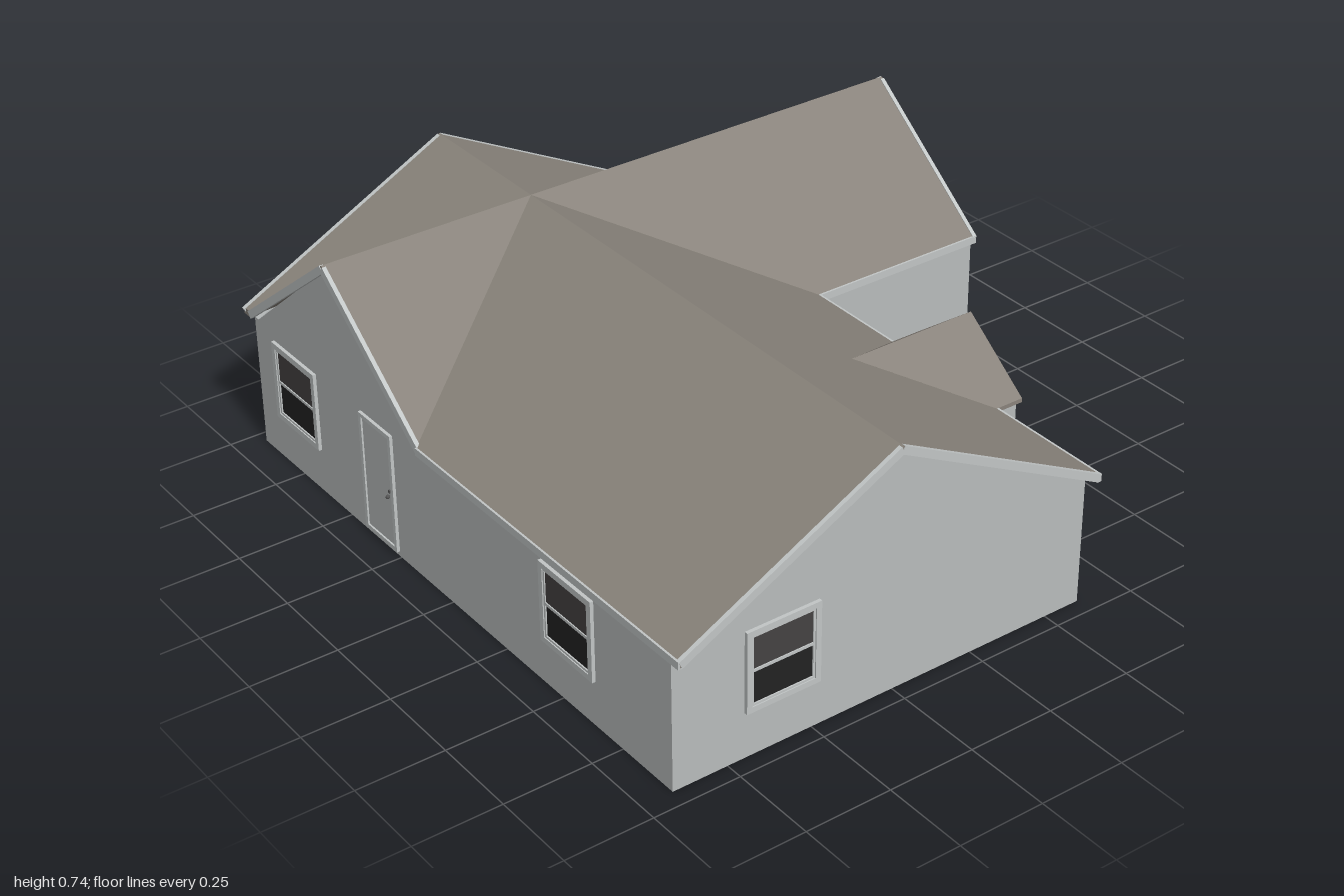
import * as THREE from 'three';

const mat = (name, color) => {
  const m = new THREE.MeshStandardMaterial({ color });
  m.name = name;
  return m;
};

export function createModel() {
  const house = new THREE.Group();
  house.name = 'house';
  const siding = mat('siding', 0xb9bdbd);
  const trim = mat('trim', 0xc2c6c6);
  const shingle = mat('shingle', 0x89837b);
  const brick = mat('brick', 0x857d75);
  const glassUpper = mat('upperGlass', 0x454242);
  const glassLower = mat('lowerGlass', 0x222223);
  const metal = mat('metal', 0x555555);
  const groove = mat('groove', 0x868a8a);

  const add = (parent, name, geo, material) => {
    const m = new THREE.Mesh(geo, material);
    m.name = name;
    parent.add(m);
    return m;
  };
  // Box given by its min and max on each axis
  const box = (parent, name, material, x0, x1, y0, y1, z0, z1) => add(parent, name,
    new THREE.BoxGeometry(x1 - x0, y1 - y0, z1 - z0)
      .translate((x0 + x1) / 2, (y0 + y1) / 2, (z0 + z1) / 2), material);

  // Upright wall from an outline; axis 'z' takes (x, y), axis 'x' takes (z, y)
  const wall = (name, material, axis, from, to, outline, hole) => {
    const shape = new THREE.Shape(outline.map(p => new THREE.Vector2(...p)));
    if (hole) shape.holes.push(new THREE.Path(hole.map(p => new THREE.Vector2(...p))));
    const geo = new THREE.ExtrudeGeometry(shape, { depth: to - from, bevelEnabled: false });
    if (axis === 'z') geo.translate(0, 0, from);
    else geo.rotateY(-Math.PI / 2).translate(to, 0, 0);
    return add(house, name, geo, material);
  };

  // Convex sloping slab: top polygon, underside and edges
  const slab = (name, pts, t = 0.018) => {
    let top = pts.map(p => new THREE.Vector3(...p));
    const n = top[1].clone().sub(top[0]).cross(top[2].clone().sub(top[0]));
    if (n.y < 0) top.reverse();
    const low = top.map(p => p.clone().setY(p.y - t));
    const v = [];
    const tri = (...ps) => ps.forEach(p => v.push(p.x, p.y, p.z));
    top.forEach((p, i) => {
      const j = (i + 1) % top.length;
      if (i > 0 && j > 0) {
        tri(top[0], p, top[j]);
        tri(low[0], low[j], low[i]);
      }
      tri(p, low[i], low[j]);
      tri(p, low[j], top[j]);
    });
    const geo = new THREE.BufferGeometry();
    geo.setAttribute('position', new THREE.Float32BufferAttribute(v, 3));
    geo.computeVertexNormals();
    return add(house, name, geo, shingle);
  };

  // Fascia board running from a to b
  const board = (name, a, b, h = 0.022) => {
    const p = new THREE.Vector3(...a), q = new THREE.Vector3(...b);
    const m = add(house, name, new THREE.BoxGeometry(0.012, h, p.distanceTo(q)), trim);
    m.position.copy(p).lerp(q, 0.5);
    m.lookAt(q);
  };

  // Walls
  const peak = 0.725, eave = 0.395;
  wall('frontWall', siding, 'z', 0.93, 0.95,
    [[-0.91, 0], [0.36, 0], [0.36, eave], [-0.28, peak], [-0.91, eave]]);
  wall('backWall', siding, 'z', -0.96, -0.94,
    [[-0.91, 0], [0.905, 0], [0.905, eave], [0.36, eave], [-0.28, peak], [-0.91, eave]]);
  wall('rightSideWall', siding, 'x', -0.91, -0.89,
    [[-0.94, 0], [0.93, 0], [0.93, eave], [-0.13, eave], [-0.545, peak], [-0.94, eave]]);
  wall('garageGableWall', siding, 'x', 0.885, 0.905,
    [[-0.94, 0], [-0.14, 0], [-0.14, eave], [-0.545, peak], [-0.94, eave]],
    [[-0.89, 0.001], [-0.89, 0.365], [-0.195, 0.365], [-0.195, 0.001]]);
  box(house, 'garageSideWall', siding, 0.34, 0.905, 0, eave, -0.14, -0.12);
  box(house, 'entryWall', brick, 0.34, 0.36, 0, eave, -0.12, 0.93);
  box(house, 'doorStep', brick, 0.36, 0.6, 0, 0.015, -0.12, 0.12);

  // Crossing gable roofs, meeting at the centre of the ridges
  const R = 0.74, E = 0.41, cx = -0.28, cz = -0.545, zf = -0.12, zb = -0.97;
  const centre = [cx, R, cz];
  for (const s of [-1, 1]) {
    const ex = cx + s * 0.64, gx = s * 0.92;
    slab('mainRoofFront', [[ex, E, 1], [cx, R, 1], centre, [ex, E, zf]]);
    slab('mainRoofBack', [centre, [ex, E, zb], [ex, E, -1], [cx, R, -1]]);
    for (const z of [zf, zb]) {
      slab('crossRoof', s < 0 ? [centre, [gx, R, cz], [ex, E, z]]
        : [centre, [gx, R, cz], [gx, E, z], [ex, E, z]]);
      board('crossRake', [gx - s * 0.004, R - 0.011, cz], [gx - s * 0.004, E - 0.011, z]);
    }
    for (const z of [0.996, -0.996]) board('mainRake', [ex, E - 0.011, z], [cx, R - 0.011, z]);
    board('mainEave', [ex, E - 0.011, zf], [ex, E - 0.011, 1]);
  }
  for (const z of [zf, zb]) board('garageEave', [0.36, E - 0.011, z], [0.92, E - 0.011, z]);

  // Sash window, facing +z before turning; cols and rows add glazing bars
  const frame = (g, w, h, b, z0, z1) => {
    for (const s of [-1, 1]) {
      const x = s * (w - b) / 2, y = s * (h - b) / 2;
      box(g, 'frameSide', trim, x - b / 2, x + b / 2, -h / 2, h / 2, z0, z1);
      box(g, 'frameRail', trim, -w / 2 + b, w / 2 - b, y - b / 2, y + b / 2, z0, z1);
    }
  };
  const windowAt = (name, x, y, z, turn, w, h, b, cols = 1, rows = 2) => {
    const g = new THREE.Group();
    g.name = name;
    frame(g, w, h, b, -0.026, 0.01);
    frame(g, w - 2 * b, h - 2 * b, 0.006, -0.024, 0.007);
    const gw = w / 2 - b, gh = h / 2 - b;
    box(g, 'upperPane', glassUpper, -gw, gw, 0, gh, -0.022, 0.004);
    box(g, 'lowerPane', glassLower, -gw, gw, -gh, 0, -0.022, 0.003);
    for (let i = 1; i < cols; i++) {
      const u = -gw + 2 * gw * i / cols;
      box(g, 'glazingBar', trim, u - 0.0015, u + 0.0015, -gh, gh, -0.023, 0.006);
    }
    for (let i = 1; i < rows; i++) {
      const v = -gh + 2 * gh * i / rows, t = i * 2 === rows ? 0.004 : 0.0015;
      box(g, 'crossBar', trim, -gw, gw, v - t, v + t, -0.024, 0.007);
    }
    g.position.set(x, y, z);
    g.rotation.y = turn;
    house.add(g);
  };
  const q = Math.PI / 2;
  windowAt('frontWindow', -0.59, 0.25, 0.95, 0, 0.22, 0.235, 0.016);
  windowAt('backWindow', -0.58, 0.25, -0.96, Math.PI, 0.22, 0.235, 0.016);
  for (const z of [-0.75, 0.53]) windowAt('sideWindow', -0.91, 0.25, z, -q, 0.22, 0.235, 0.016);

  // Bay with its small gable roof and paired windows
  wall('bay', siding, 'x', 0.34, 0.43,
    [[0.2, 0.095], [0.61, 0.095], [0.61, 0.405], [0.405, 0.555], [0.2, 0.405]]);
  for (const s of [-1, 1]) {
    const z = 0.405 + s * 0.21;
    slab('bayRoof', [[0.445, 0.57, 0.405], [0.05, 0.57, 0.405], [0.36, 0.41, z], [0.445, 0.41, z]], 0.012);
    windowAt('bayWindow', 0.43, 0.262, 0.413 + s * 0.083, -q + Math.PI, 0.166, 0.265, 0.01, 3, 4);
  }
  box(house, 'baySill', trim, 0.43, 0.442, 0.122, 0.131, 0.245, 0.58);

  // Doors
  const doorAt = (name, x, z, turn) => {
    const g = new THREE.Group();
    g.name = name;
    const w = 0.155, h = 0.355;
    frame(g, w, h, 0.012, -0.026, 0.009);
    box(g, 'doorLeaf', siding, -w / 2 + 0.012, w / 2 - 0.012, -h / 2 + 0.012, h / 2 - 0.012, -0.022, 0.004);
    const knob = add(g, 'doorKnob', new THREE.SphereGeometry(0.006, 10, 8), metal);
    knob.position.set(0.055, -0.015, 0.012);
    box(g, 'lockPlate', metal, 0.051, 0.059, -0.005, 0.003, 0.004, 0.008);
    g.position.set(x, 0.015 + h / 2, z);
    g.rotation.y = turn;
    house.add(g);
  };
  doorAt('frontDoor', 0.36, 0.005, q);
  doorAt('sideDoor', -0.91, -0.335, -q);

  // Garage door with raised panels, brick piers and trim
  box(house, 'garageDoor', siding, 0.882, 0.895, 0, 0.365, -0.89, -0.195);
  for (let r = 0; r < 4; r++) {
    for (let c = 0; c < 8; c++) {
      const y = 0.045 + r * 0.087, z = -0.845 + c * 0.0865;
      box(house, 'panelEdge', groove, 0.895, 0.897, y - 0.035, y + 0.035, z - 0.035, z + 0.035);
      box(house, 'garagePanel', siding, 0.895, 0.9, y - 0.031, y + 0.031, z - 0.031, z + 0.031);
    }
  }
  for (const [z0, z1] of [[-0.937, -0.9], [-0.185, -0.14]])
    box(house, 'garagePier', brick, 0.9, 0.912, 0, 0.37, z0, z1);
  for (const z of [-0.895, -0.19])
    box(house, 'garageDoorJamb', trim, 0.88, 0.914, 0, 0.37, z - 0.006, z + 0.006);
  box(house, 'garageDoorHead', trim, 0.88, 0.914, 0.358, 0.371, -0.9, -0.185);

  return house;
}
